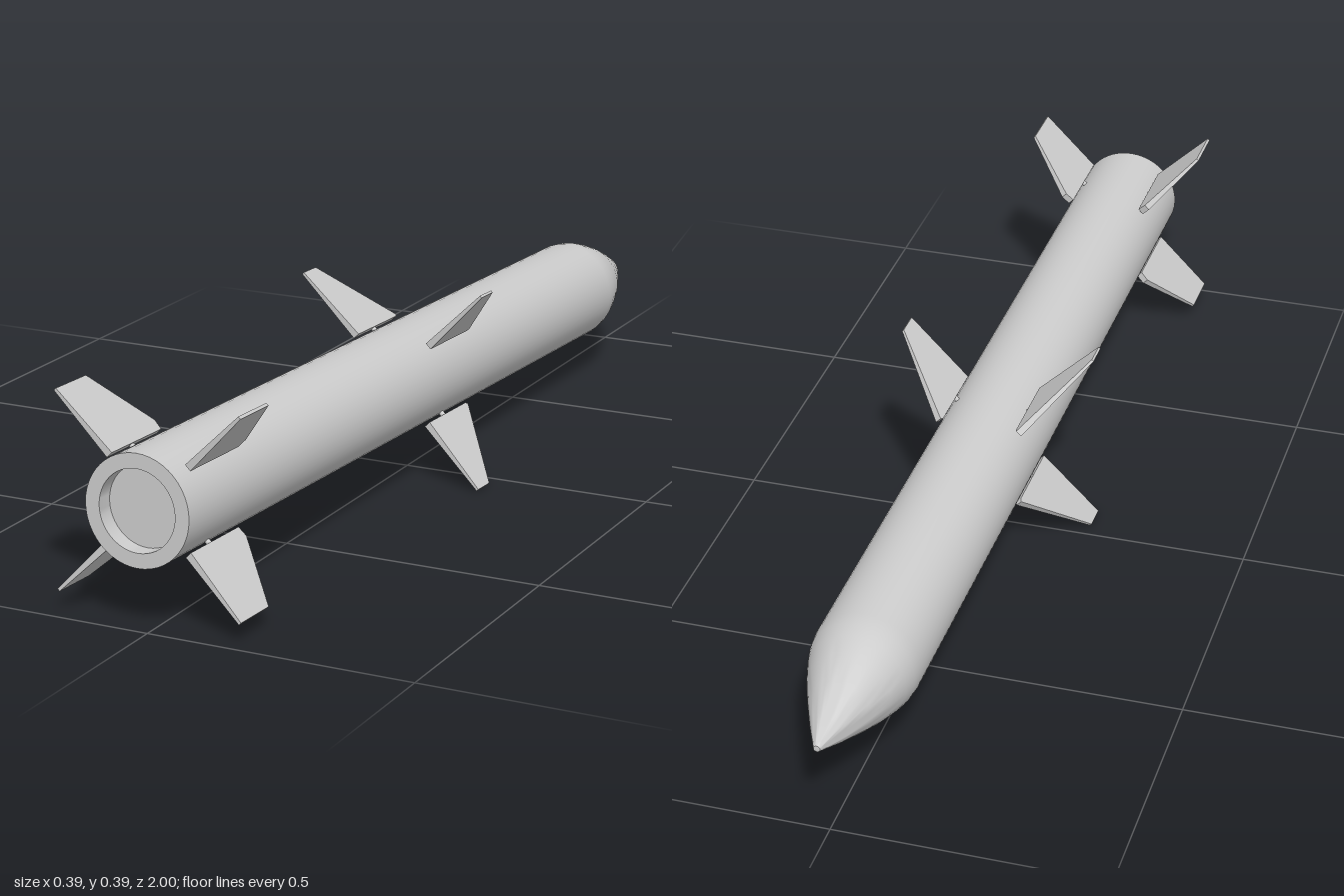
import * as THREE from 'three';
import { toCreasedNormals } from 'three/addons/utils/BufferGeometryUtils.js';

const material = new THREE.MeshStandardMaterial({ color: 0xcccccc });

function mesh(geometry, name) {
  const m = new THREE.Mesh(geometry, material);
  m.name = name;
  return m;
}

// Fin outline as [radius, z] corners; the blade thins towards its tip.
function finGeometry(outline) {
  const shape = new THREE.Shape(outline.map(([r, z]) => new THREE.Vector2(r, z)));
  const geo = new THREE.ExtrudeGeometry(shape, { depth: 1, bevelEnabled: false });
  geo.translate(0, 0, -0.5);
  const p = geo.attributes.position;
  for (let i = 0; i < p.count; i++) {
    const t = (p.getX(i) - 0.108) / 0.16;
    p.setZ(i, p.getZ(i) * THREE.MathUtils.lerp(0.014, 0.005, t));
  }
  geo.rotateX(Math.PI / 2);
  return toCreasedNormals(geo, 0.3);
}

// Four fins in an X, each on a short pivot pin.
function finSet(name, outline, pinZ) {
  const set = new THREE.Group();
  set.name = name;
  const blade = finGeometry(outline);
  const pinGeo = new THREE.CylinderGeometry(0.005, 0.005, 0.025, 12);
  for (let k = 0; k < 4; k++) {
    const fin = new THREE.Group();
    fin.name = name + 'Fin' + (k + 1);
    const pin = mesh(pinGeo, 'pivotPin');
    pin.rotation.z = Math.PI / 2;
    pin.position.set(0.104, 0, pinZ);
    fin.add(mesh(blade, 'blade'), pin);
    fin.rotation.z = Math.PI / 4 + k * Math.PI / 2;
    set.add(fin);
  }
  return set;
}

export function createModel() {
  const model = new THREE.Group();
  model.name = 'missile';

  // Body: pointed nose, straight tube, recessed nozzle at the tail
  const profile = [
    [0, -1], [0.006, -0.998], [0.011, -0.988], [0.034, -0.94], [0.058, -0.885],
    [0.078, -0.835], [0.091, -0.795], [0.098, -0.768], [0.101, -0.74],
    [0.101, 0.998], [0.074, 0.998], [0.074, 0.965], [0, 0.965],
  ].map(([r, y]) => new THREE.Vector2(r, y));
  const body = new THREE.LatheGeometry(profile, 48);
  body.rotateX(Math.PI / 2);
  model.add(mesh(toCreasedNormals(body, 0.6), 'body'));

  // Fins: swept wings at mid-body, broader control fins at the tail
  model.add(finSet('middle',
    [[0.109, -0.086], [0.113, -0.092], [0.268, 0.03], [0.268, 0.078], [0.109, 0.07]], 0));
  model.add(finSet('tail',
    [[0.108, 0.8], [0.128, 0.797], [0.253, 0.872], [0.253, 0.966], [0.108, 0.96]], 0.89));

  // The whole missile leans slightly, nose down and to its left
  model.rotation.set(-0.024, -0.018, 0);
  model.position.set(0.002, 0.193, 0);
  const root = new THREE.Group();
  root.add(model);
  return root;
}
